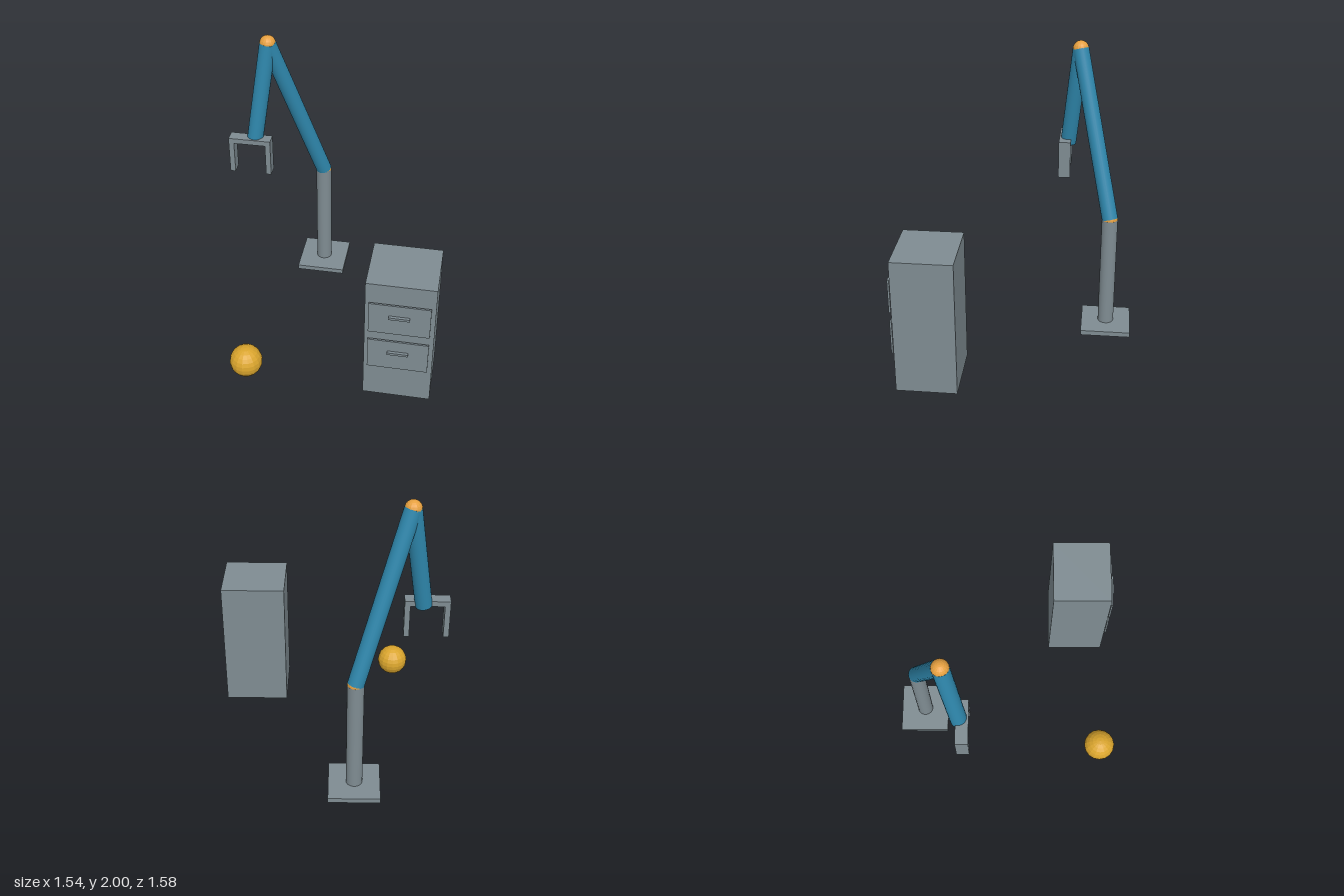
import * as THREE from 'three';

const material = (name, color, flatShading = false) => {
  const m = new THREE.MeshStandardMaterial({ color, flatShading });
  m.name = name;
  return m;
};

export function createModel() {
  const gray = material('steel gray', 0x7f8c92);
  const blue = material('arm blue', 0x2e86ab);
  const orange = material('joint orange', 0xe6a040, true);
  const gold = material('ball gold', 0xdaa52d, true);
  const R = 0.055;

  const model = new THREE.Group();
  const group = (name) => {
    const g = new THREE.Group();
    g.name = name;
    model.add(g);
    return g;
  };
  const add = (parent, name, geometry, mat) => {
    const mesh = new THREE.Mesh(geometry, mat);
    mesh.name = name;
    parent.add(mesh);
    return mesh;
  };
  // Box given by its lower and upper limits on each axis
  const box = (parent, name, [x0, x1], [y0, y1], [z0, z1], mat = gray) =>
    add(parent, name, new THREE.BoxGeometry(x1 - x0, y1 - y0, z1 - z0), mat)
      .position.set((x0 + x1) / 2, (y0 + y1) / 2, (z0 + z1) / 2);
  // Round bar between two points
  const bar = (parent, name, a, b, mat) => {
    const dir = b.clone().sub(a);
    const mesh = add(parent, name, new THREE.CylinderGeometry(R, R, dir.length(), 24), mat);
    mesh.position.copy(a).add(b).multiplyScalar(0.5);
    mesh.quaternion.setFromUnitVectors(new THREE.Vector3(0, 1, 0), dir.normalize());
  };
  const ball = (parent, name, center, r, mat) =>
    add(parent, name, new THREE.SphereGeometry(r, 16, 12), mat).position.copy(center);

  // Robot arm: foot, column, two links and their joints
  const foot = new THREE.Vector3(-0.177, 0.035, -0.618);
  const shoulder = new THREE.Vector3(-0.177, 0.84, -0.618);
  const elbow = new THREE.Vector3(-0.499, 1.945, -0.376);
  const wrist = new THREE.Vector3(-0.6, 1.232, -0.302);
  const arm = group('robotArm');
  box(arm, 'basePlate', [-0.35, -0.004], [0, 0.035], [-0.791, -0.445]);
  bar(arm, 'column', foot, shoulder, gray);
  ball(arm, 'shoulderJoint', shoulder, R, orange);
  bar(arm, 'upperArm', shoulder, elbow, blue);
  ball(arm, 'elbowJoint', elbow, R, orange);
  bar(arm, 'forearm', elbow, wrist, blue);

  // Gripper: palm with two fingers
  const gripper = group('gripper');
  const depth = [-0.323, -0.24];
  box(gripper, 'palm', [-0.77, -0.48], [1.233, 1.27], depth);
  for (const x of [-0.77, -0.516]) box(gripper, 'finger', [x, x + 0.036], [1.004, 1.233], depth);

  // Cabinet with two drawer fronts and handles
  const cabinet = group('cabinet');
  box(cabinet, 'cabinetBody', [0.324, 0.768], [0, 0.945], [0.316, 0.717]);
  for (const y of [0.385, 0.687]) {
    box(cabinet, 'drawerFront', [0.35, 0.74], [y - 0.117, y + 0.117], [0.727, 0.739]);
    box(cabinet, 'drawerHandle', [0.478, 0.612], [y + 0.017, y + 0.034], [0.739, 0.758]);
  }

  // Ball on the floor
  ball(model, 'ball', new THREE.Vector3(-0.477, 0.11, 0.68), 0.11, gold);

  return model;
}
